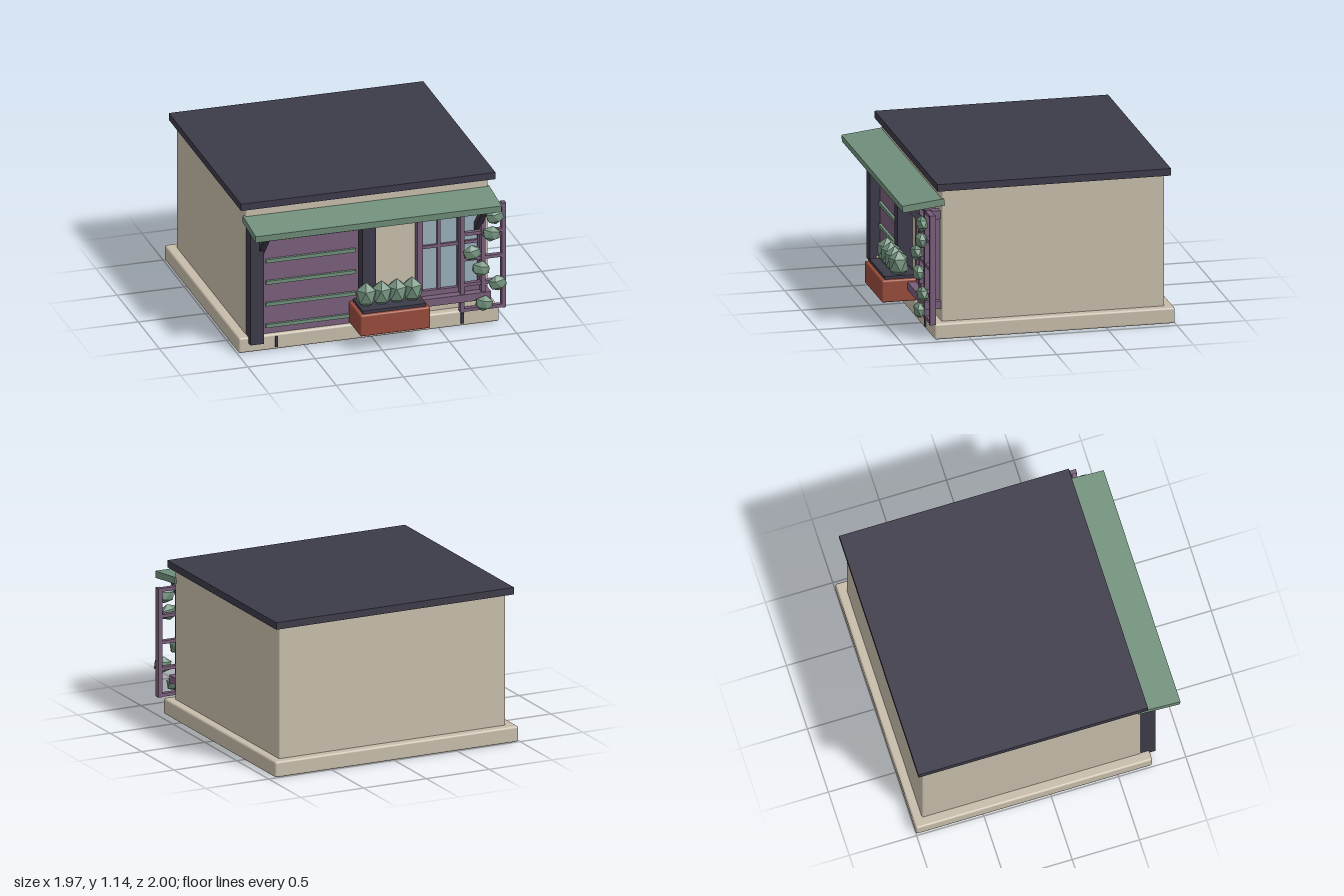
import * as THREE from 'three';
import { RoundedBoxGeometry } from 'three/addons/geometries/RoundedBoxGeometry.js';

const mat = (name, color, flatShading = false) => {
  const m = new THREE.MeshStandardMaterial({ color, flatShading });
  m.name = name;
  return m;
};

export function createModel() {
  const plaster = mat('plaster', 0xc6bcaa);
  const slate = mat('slate', 0x3c3a48);
  const green = mat('sageGreen', 0x71907c, true);
  const plum = mat('plumWood', 0x785e7a);
  const clay = mat('terracotta', 0x984b3b);
  const glass = mat('glass', 0x97adba);

  const model = new THREE.Group();
  model.name = 'gardenKiosk';

  const group = (name) => {
    const g = new THREE.Group();
    g.name = name;
    model.add(g);
    return g;
  };

  // Box given by its extents on each axis; a radius rounds its edges
  const box = (parent, name, material, [x0, x1], [y0, y1], [z0, z1], radius = 0) => {
    const size = [x1 - x0, y1 - y0, z1 - z0];
    const geo = radius ? new RoundedBoxGeometry(...size, 2, radius) : new THREE.BoxGeometry(...size);
    const mesh = new THREE.Mesh(geo, material);
    mesh.position.set((x0 + x1) / 2, (y0 + y1) / 2, (z0 + z1) / 2);
    mesh.name = name;
    parent.add(mesh);
    return mesh;
  };

  // Faceted foliage with one point upwards
  const foliage = (parent, name, [x, y, z], [rx, ry, rz], tilt = 0) => {
    const geo = new THREE.IcosahedronGeometry(1, 0);
    geo.rotateZ(Math.atan(2 / (1 + Math.sqrt(5))));
    geo.scale(rx, ry, rz);
    const mesh = new THREE.Mesh(geo, green);
    mesh.position.set(x, y, z);
    mesh.rotation.z = tilt;
    mesh.name = name;
    parent.add(mesh);
  };

  // Plinth, walls and flat roof
  box(model, 'plinth', plaster, [-0.99, 0.947], [0, 0.117], [-1, 0.755], 0.015);
  box(model, 'walls', plaster, [-0.92, 0.885], [0.1, 1.093], [-0.935, 0.69], 0.012);
  box(model, 'roof', slate, [-0.965, 0.927], [1.09, 1.142], [-0.975, 0.73]);
  for (const x of [-0.712, -0.018, 0.67])
    box(model, 'plinthJoint', slate, [x - 0.01, x + 0.01], [0.02, 0.1], [0.74, 0.765]);

  // Sloping awning with diagonal braces
  const awning = group('awning');
  const canopy = box(awning, 'canopy', green, [-0.935, 0.895], [0.958, 1.008], [0.67, 0.978]);
  canopy.rotation.x = 0.115;
  for (const x of [-0.828, 0.79]) {
    const brace = box(awning, 'brace', slate, [x - 0.022, x + 0.022], [0.665, 1.005], [0.785, 0.83]);
    brace.rotation.x = 0.72;
  }

  // Front posts
  for (const x of [-0.867, -0.034])
    box(model, 'post', slate, [x - 0.05, x + 0.05], [0.073, 0.96], [0.69, 0.8]);

  // Shutter door with raised slats
  const door = group('shutterDoor');
  box(door, 'doorPanel', plum, [-0.82, -0.09], [0.117, 0.945], [0.68, 0.725]);
  for (let i = 0; i < 5; i++) {
    const y = 0.18 + i * 0.167;
    box(door, 'slat', green, [-0.783, -0.117], [y - 0.013, y + 0.013], [0.72, 0.745]);
  }

  // Window: glass, frame, glazing bars and sill
  const win = group('window');
  box(win, 'pane', glass, [0.36, 0.8], [0.28, 0.88], [0.68, 0.722]);
  for (const x of [0.36, 0.81])
    box(win, 'frameSide', plum, [x - 0.02, x + 0.02], [0.26, 0.9], [0.68, 0.75]);
  box(win, 'frameTop', plum, [0.34, 0.83], [0.862, 0.902], [0.68, 0.75]);
  box(win, 'frameBottom', plum, [0.34, 0.83], [0.262, 0.302], [0.68, 0.75]);
  for (const x of [0.502, 0.652])
    box(win, 'uprightBar', plum, [x - 0.011, x + 0.011], [0.28, 0.88], [0.7, 0.74]);
  box(win, 'crossBar', plum, [0.36, 0.81], [0.623, 0.646], [0.7, 0.74]);
  for (const x of [0.352, 0.818])
    box(win, 'cornerBlock', plum, [x - 0.03, x + 0.03], [0.862, 0.925], [0.68, 0.755]);
  box(win, 'sill', plum, [0.3, 0.87], [0.205, 0.262], [0.68, 0.81]);

  // Trellis with climbing plant
  const trellis = group('trellis');
  for (const x of [0.66, 0.815, 0.969])
    box(trellis, 'trellisUpright', plum, [x - 0.015, x + 0.015], [0.122, 0.93], [0.755, 0.8]);
  for (let i = 0; i < 5; i++) {
    const y = 0.135 + i * 0.195;
    box(trellis, 'trellisRail', plum, [0.645, 0.984], [y - 0.012, y + 0.012], [0.76, 0.795]);
  }
  const leaves = [[0.89, 0.85], [0.863, 0.72], [0.72, 0.59], [0.785, 0.46], [0.91, 0.335], [0.81, 0.19]];
  leaves.forEach(([x, y], i) =>
    foliage(trellis, 'climbingLeaf', [x, y, 0.835], [0.074, 0.061, 0.046], i % 2 ? -0.2 : 0.15));

  // Planter with a row of shrubs
  const planter = group('planter');
  box(planter, 'trough', clay, [-0.162, 0.36], [0.122, 0.285], [0.713, 0.998], 0.012);
  box(planter, 'soil', slate, [-0.135, 0.332], [0.27, 0.307], [0.74, 0.972]);
  for (let i = 0; i < 4; i++)
    foliage(planter, 'shrub', [-0.075 + i * 0.114, 0.375, 0.855], [0.08, 0.1, 0.08]);

  return model;
}
